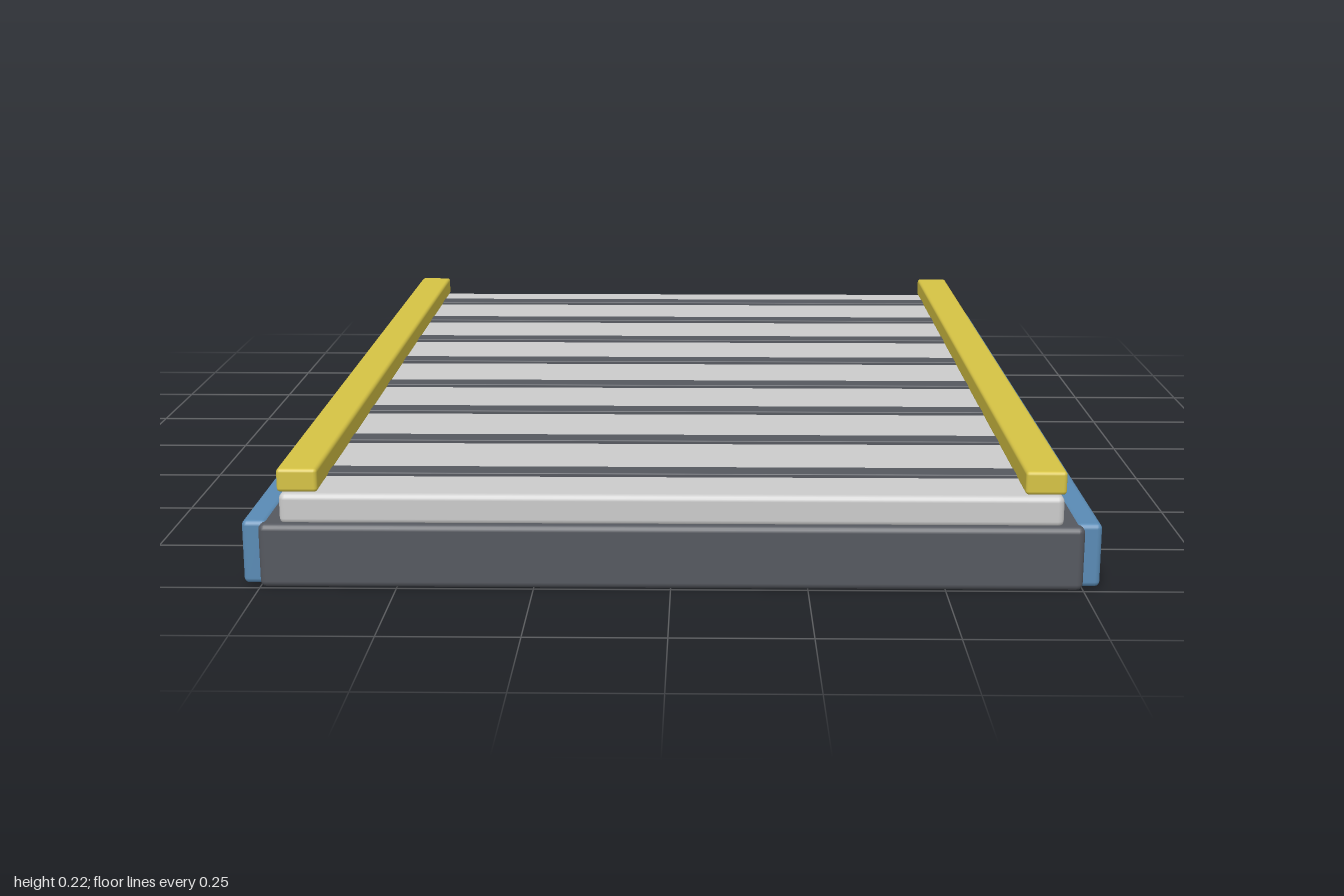
import * as THREE from 'three';
import { RoundedBoxGeometry } from 'three/addons/geometries/RoundedBoxGeometry.js';

const paint = (color) => new THREE.MeshStandardMaterial({ color });
const dark = paint(0x55585f);
const blue = paint(0x5a8bb5);
const grey = paint(0xcccccc);
const yellow = paint(0xd6c344);

export function createModel() {
  const model = new THREE.Group();

  // Softly bevelled block given by its extents on each axis
  function block(name, material, [x0, x1], [y0, y1], [z0, z1], bevel) {
    const geometry = new RoundedBoxGeometry(x1 - x0, y1 - y0, z1 - z0, 2, bevel);
    const mesh = new THREE.Mesh(geometry, material);
    mesh.position.set((x0 + x1) / 2, (y0 + y1) / 2, (z0 + z1) / 2);
    mesh.name = name;
    model.add(mesh);
  }

  // Base slab and the deck resting on it
  block('base', dark, [-0.75, 0.75], [0, 0.12], [-1, 1], 0.012);
  block('deck', grey, [-0.713, 0.713], [0.115, 0.174], [-0.985, 0.985], 0.012);

  // Side skirts and raised edge rails
  for (const [side, s] of [['left', 1], ['right', -1]]) {
    const span = (a, b) => (s > 0 ? [a, b] : [-b, -a]);
    block(side + 'Skirt', blue, span(0.735, 0.783), [0.002, 0.122], [-0.983, 0.983], 0.01);
    block(side + 'Rail', yellow, span(0.642, 0.717), [0.174, 0.218], [-0.975, 0.975], 0.007);
  }

  // Cross slats, just proud of the deck
  for (let i = 0; i < 8; i++) {
    const z = -0.842 + i * 0.2403;
    block('slat' + (i + 1), dark, [-0.675, 0.675], [0.164, 0.181], [z - 0.024, z + 0.024], 0.002);
  }

  return model;
}
